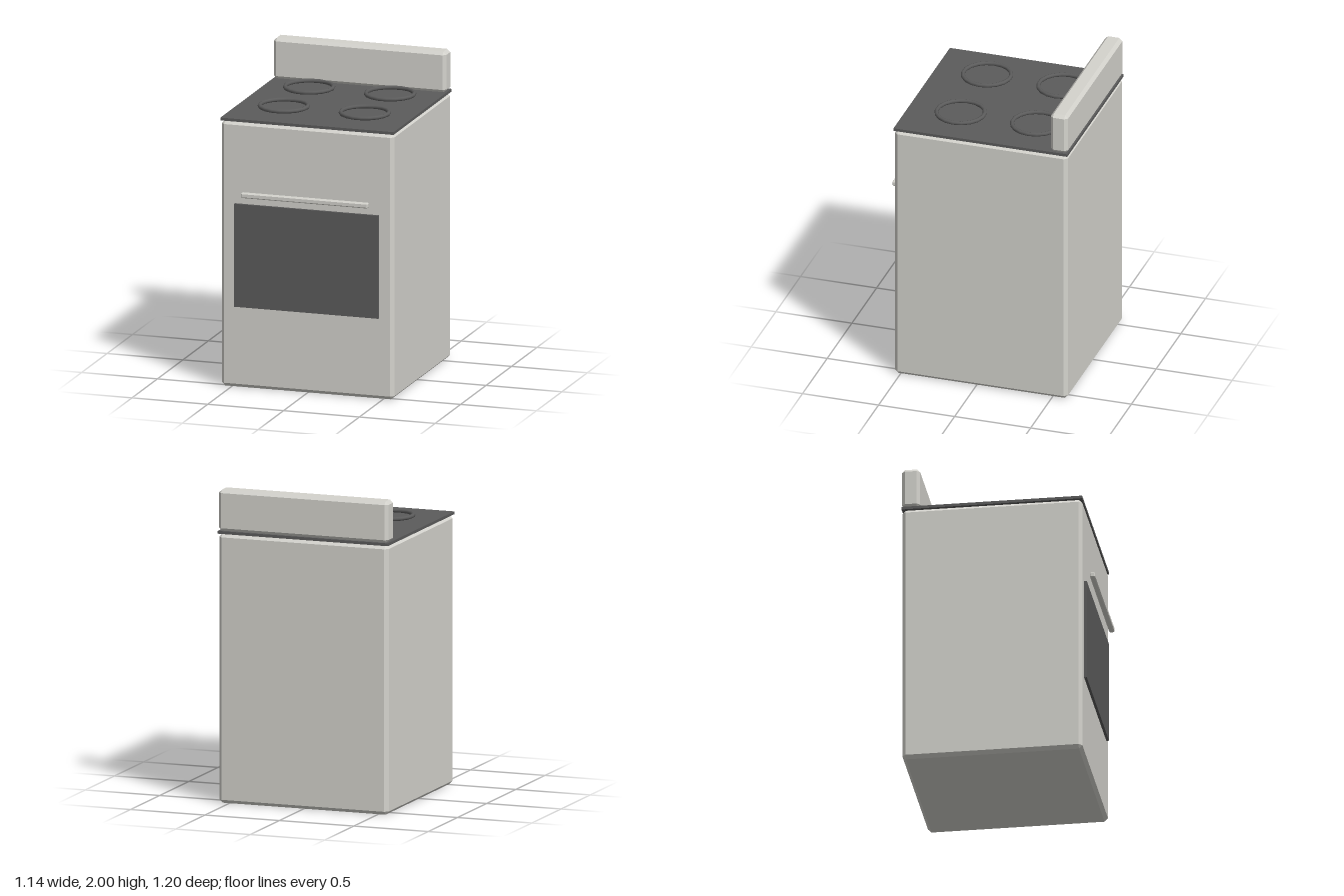
import * as THREE from 'three';
import { ConvexGeometry } from 'three/addons/geometries/ConvexGeometry.js';

const enamel = new THREE.MeshStandardMaterial({ color: 0xd4d3cd });
enamel.name = 'light enamel';
const glass = new THREE.MeshStandardMaterial({ color: 0x5c5c5c });
glass.name = 'dark glass';

// Box with every edge cut by a single flat chamfer
function chamferBox(w, h, d, c) {
  const points = [];
  for (const x of [-1, 1]) for (const y of [-1, 1]) for (const z of [-1, 1]) {
    for (let axis = 0; axis < 3; axis++) {
      points.push(new THREE.Vector3(
        x * (w / 2 - (axis === 0 ? 0 : c)),
        y * (h / 2 - (axis === 1 ? 0 : c)),
        z * (d / 2 - (axis === 2 ? 0 : c))));
    }
  }
  return new ConvexGeometry(points);
}

export function createModel() {
  const cooker = new THREE.Group();
  cooker.name = 'cooker';

  function add(name, geometry, material, x, y, z) {
    const mesh = new THREE.Mesh(geometry, material);
    mesh.name = name;
    mesh.position.set(x, y, z);
    cooker.add(mesh);
  }

  // Cabinet, cooktop and rear panel
  add('body', chamferBox(1.138, 1.715, 1.138, 0.022), enamel, 0, 0.8625, -0.03);
  add('cooktop', new THREE.BoxGeometry(1.142, 0.018, 1.142), glass, 0, 1.729, -0.03);
  add('backPanel', chamferBox(1.138, 0.264, 0.114, 0.02), enamel, 0, 1.868, -0.543);

  // Oven door window and handle
  add('ovenWindow', new THREE.BoxGeometry(0.95, 0.665, 0.03), glass, 0, 0.8605, 0.541);
  add('ovenHandle', chamferBox(0.836, 0.032, 0.034, 0.006), enamel, 0, 1.261, 0.583);

  // Burner rings
  const ring = new THREE.TorusGeometry(0.152, 0.013, 8, 18).rotateX(-Math.PI / 2);
  for (const x of [-0.267, 0.267]) {
    for (const z of [-0.298, 0.198]) add('burnerRing', ring, glass, x, 1.757, z);
  }
  return cooker;
}
